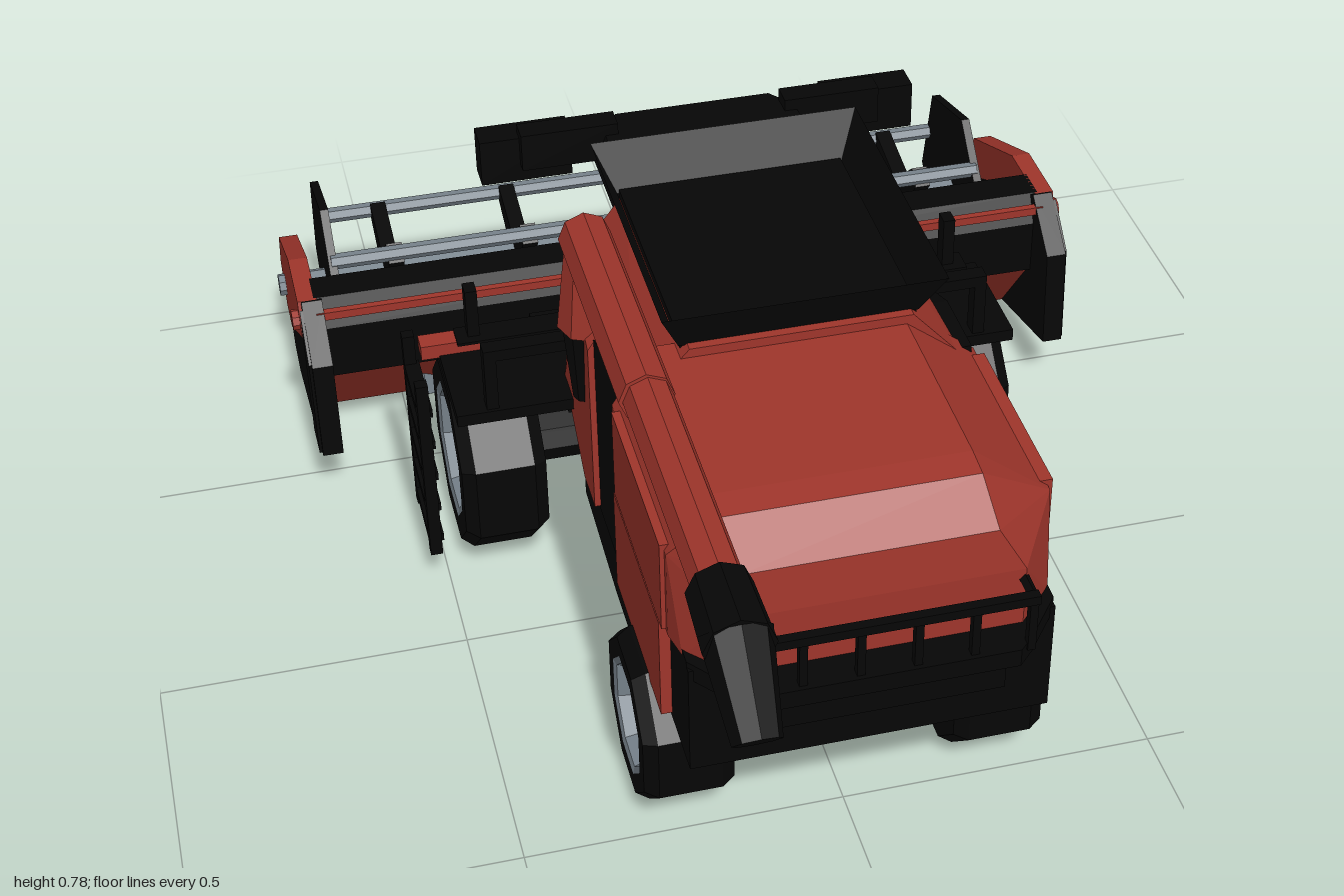
import * as THREE from 'three';
import { ConvexGeometry } from 'three/addons/geometries/ConvexGeometry.js';

const mat = (color) => new THREE.MeshStandardMaterial({ color, flatShading: true, side: THREE.DoubleSide });

export function createModel() {
  const model = new THREE.Group();
  const red = mat(0x9e352b), black = mat(0x060606), grey = mat(0x76818a);
  const glass = mat(0xd0955f), cream = mat(0xe8dfae);
  const V = (x, y, z) => new THREE.Vector3(x, y, z);

  const add = (name, geo, m, parent = model) => {
    const mesh = new THREE.Mesh(geo, m);
    mesh.name = name;
    parent.add(mesh);
    return mesh;
  };
  // Box given by its limits
  const box = (name, m, x0, x1, y0, y1, z0, z1, parent) => {
    const b = add(name, new THREE.BoxGeometry(x1 - x0, y1 - y0, z1 - z0), m, parent);
    b.position.set((x0 + x1) / 2, (y0 + y1) / 2, (z0 + z1) / 2);
    return b;
  };
  // Side profile of [z, y] points spanning x0..x1
  const prism = (name, m, pts, x0, x1, parent) =>
    add(name, new ConvexGeometry(pts.flatMap(([z, y]) => [V(x0, y, z), V(x1, y, z)])), m, parent);
  // Convex block through sections of [z, [[x, y], ...]]
  const hull = (name, m, sections) =>
    add(name, new ConvexGeometry(sections.flatMap(([z, s]) => s.map(([x, y]) => V(x, y, z)))), m);
  // The same, mirrored in x
  const block = (name, m, sections) =>
    hull(name, m, sections.map(([z, s]) => [z, s.flatMap(([x, y]) => [[x, y], [-x, y]])]));
  // Straight rod between two points
  const rod = (name, m, a, b, r, sides = 6, parent = model, r2 = r) => {
    const d = b.clone().sub(a);
    const c = add(name, new THREE.CylinderGeometry(r2, r, d.length(), sides), m, parent);
    c.position.copy(a).add(b).multiplyScalar(0.5);
    c.quaternion.setFromUnitVectors(V(0, 1, 0), d.normalize());
    return c;
  };
  // x limits on side s
  const span = (s, a, b) => [Math.min(s * a, s * b), Math.max(s * a, s * b)];

  // Body shells
  const hoodSection = [[-0.28, 0.45], [-0.28, 0.6], [-0.22, 0.695], [0.16, 0.695], [0.25, 0.62], [0.28, 0.6], [0.28, 0.45]];
  hull('rearHood', red, [
    [0.2, hoodSection],
    [0.55, hoodSection],
    [0.595, [[-0.22, 0.69], [0.16, 0.69], [0.22, 0.62], [0.27, 0.45], [-0.27, 0.45]]],
    [0.65, [[-0.2, 0.63], [0.17, 0.63]]],
    [0.66, [[-0.21, 0.45], [-0.21, 0.56], [0.21, 0.56], [0.21, 0.45]]],
  ]);
  for (const s of [-1, 1]) {
    box('sidePanel', red, ...span(s, 0.24, 0.287), 0.455, 0.61, 0.23, 0.54);
    box('lowerSidePanel', red, ...span(s, 0.24, 0.287), 0.27, 0.45, 0.22, 0.52);
    prism('sideSkirt', black, [[0.22, 0.27], [0.22, 0.14], [0.09, 0.14], [0, 0.16], [-0.14, 0.16], [-0.14, 0.27]], s * 0.2, s * 0.265);
  }
  block('middleBody', black, [
    [0.22, [[0.27, 0.25], [0.27, 0.62]]],
    [0.1, [[0.27, 0.25], [0.27, 0.62]]],
    [0, [[0.27, 0.25], [0.27, 0.58]]],
  ]);
  block('frontBody', red, [
    [0.02, [[0.28, 0.26], [0.28, 0.57], [0.24, 0.63]]],
    [-0.06, [[0.28, 0.26], [0.28, 0.62]]],
    [-0.2, [[0.25, 0.28], [0.28, 0.36], [0.25, 0.62]]],
  ]);
  block('tankBody', red, [
    [0.24, [[0.25, 0.55], [0.25, 0.62], [0.17, 0.71]]],
    [-0.19, [[0.24, 0.55], [0.24, 0.62], [0.17, 0.71]]],
  ]);
  box('rearChassis', black, -0.27, 0.27, 0.26, 0.45, 0.5, 0.63);
  box('rearCore', black, -0.24, 0.24, 0.26, 0.46, 0.2, 0.52);
  box('underbody', black, -0.11, 0.11, 0.155, 0.27, -0.2, 0.48);
  box('rearGrille', black, -0.16, 0.16, 0.345, 0.375, 0.62, 0.645);

  // Rear platform with railing
  prism('rearPlatform', black, [[0.6, 0.46], [0.71, 0.46], [0.71, 0.39], [0.66, 0.35], [0.6, 0.35]], -0.17, 0.17);
  block('platformDeck', black, [
    [0.52, [[0.27, 0.43], [0.27, 0.46]]], [0.62, [[0.27, 0.43], [0.27, 0.46]]],
    [0.69, [[0.215, 0.43], [0.215, 0.46]]], [0.715, [[0.19, 0.43], [0.19, 0.46]]],
  ]);
  box('railTop', black, -0.215, 0.215, 0.535, 0.55, 0.695, 0.71);
  for (let i = 0; i < 6; i++) {
    const x = -0.208 + i * 0.083;
    box('railPost', black, x - 0.006, x + 0.006, 0.45, 0.54, 0.695, 0.708);
  }
  for (const s of [-1, 1]) rod('railSide', black, V(s * 0.208, 0.542, 0.7), V(s * 0.208, 0.542, 0.6), 0.008, 4);

  // Flared grain hopper
  const hopper = new THREE.CylinderGeometry(Math.SQRT1_2, 0.6, 0.075, 4, 1, true).rotateY(Math.PI / 4).scale(0.43, 1, 0.49);
  add('grainHopper', hopper, black).position.set(0, 0.743, 0.015);
  box('hopperFloor', black, -0.18, 0.18, 0.7, 0.715, -0.19, 0.22);

  // Unloading auger
  const auger = new THREE.Group();
  auger.name = 'unloadingAuger';
  model.add(auger);
  rod('augerBase', black, V(-0.275, 0.44, -0.04), V(-0.27, 0.61, -0.04), 0.02, 8, auger, 0.04);
  rod('augerElbow', red, V(-0.265, 0.58, -0.04), V(-0.265, 0.73, -0.03), 0.05, 8, auger, 0.035);
  rod('augerInnerTube', red, V(-0.262, 0.728, -0.06), V(-0.262, 0.735, 0.37), 0.041, 8, auger);
  rod('augerOuterTube', red, V(-0.26, 0.734, 0.36), V(-0.26, 0.734, 0.81), 0.037, 8, auger);
  rod('spoutCollar', black, V(-0.26, 0.733, 0.78), V(-0.26, 0.725, 0.89), 0.046, 8, auger, 0.05);
  rod('spoutTip', black, V(-0.26, 0.733, 0.865), V(-0.26, 0.64, 0.975), 0.05, 8, auger, 0.034);

  // Cab
  block('cabGlass', glass, [
    [-0.19, [[0.17, 0.36], [0.18, 0.65]]], [-0.325, [[0.09, 0.36]]], [-0.42, [[0.1, 0.65]]],
  ]);
  block('cabRoof', black, [
    [-0.17, [[0.18, 0.645], [0.17, 0.7]]], [-0.4, [[0.18, 0.645], [0.16, 0.695]]], [-0.45, [[0.14, 0.645], [0.13, 0.69]]],
  ]);
  box('cabFloor', black, -0.18, 0.18, 0.33, 0.365, -0.34, -0.18);
  box('cabSideStep', black, -0.28, -0.17, 0.3, 0.34, -0.41, -0.18);
  for (const s of [-1, 1]) {
    rod('cabFrontPillar', red, V(s * 0.095, 0.36, -0.33), V(s * 0.105, 0.66, -0.43), 0.016, 4);
    rod('cabRearPillar', red, V(s * 0.172, 0.36, -0.2), V(s * 0.18, 0.66, -0.2), 0.014, 4);
    // Work lights on outriggers
    const light = new THREE.Group();
    light.name = 'workLights';
    model.add(light);
    box('lightArm', black, ...span(s, 0.14, 0.3), 0.65, 0.715, -0.42, -0.38, light);
    box('lightHousing', black, ...span(s, 0.215, 0.365), 0.62, 0.7, -0.45, -0.4, light);
    for (const x of [0.255, 0.325])
      rod('lamp', cream, V(s * x, 0.66, -0.43), V(s * x, 0.66, -0.46), 0.03, 8, light);
    // Side decks over the front wheels
    box('sideDeck', black, ...span(s, 0.17, 0.47), 0.345, 0.366, -0.335, -0.13);
    box('deckStrut', black, ...span(s, 0.25, 0.3), 0.3, 0.345, -0.41, -0.3);
    box('deckBeam', red, ...span(s, 0.2, s > 0 ? 0.44 : 0.5), 0.362, 0.388, -0.335, -0.3);
    box('deckTread', black, ...span(s, 0.2, 0.44), 0.386, 0.391, -0.337, -0.29);
    for (const z of [-0.15, -0.32]) box('handrailPost', black, ...span(s, 0.4, 0.42), 0.36, 0.48, z - 0.014, z + 0.014);
    box('handrailTop', black, ...span(s, 0.28, 0.42), 0.46, 0.48, -0.164, -0.136);
  }
  // Boarding ladder
  for (const z of [-0.3, -0.16]) box('ladderRail', black, -0.53, -0.51, 0.07, 0.42, z - 0.01, z + 0.01);
  for (let i = 0; i < 5; i++) box('ladderStep', black, -0.53, -0.505, 0.09 + i * 0.065, 0.105 + i * 0.065, -0.3, -0.16);

  // Wheels: tyre, dished rim open towards the inside, hub and bolts
  const wheel = (name, s, x, y, z, r, w) => {
    const g = new THREE.Group();
    g.name = name;
    const lathe = (part, m, pts) =>
      add(part, new THREE.LatheGeometry(pts.map(([a, b]) => new THREE.Vector2(a * r, b * w)), 8, Math.PI / 8), m, g);
    lathe('tyre', black, [[0.68, -1], [0.9, -1], [1, -0.7], [1, 0.7], [0.9, 1], [0.68, 1]]);
    lathe('rim', grey, [[0.68, -1], [0.62, -0.9], [0.55, 0.3], [0, 0.3]]);
    lathe('rimLip', grey, [[0.5, 0.3], [0.6, 0.95], [0.68, 1]]);
    const hub = add('hub', new THREE.CylinderGeometry(r * 0.26, r * 0.26, w * 0.5, 8), black, g);
    hub.position.y = w * 0.4;
    for (let i = 0; i < 8; i++) {
      const a = i * Math.PI / 4;
      add('bolt', new THREE.CylinderGeometry(r * 0.06, r * 0.06, w * 0.3, 5), black, g)
        .position.set(Math.cos(a) * r * 0.4, w * 0.3, Math.sin(a) * r * 0.4);
    }
    g.rotation.z = -s * Math.PI / 2;
    g.position.set(s * x, y, z);
    model.add(g);
  };
  for (const s of [-1, 1]) {
    wheel('frontWheel', s, 0.4, 0.185, -0.28, 0.177, 0.07);
    wheel('rearWheel', s, 0.243, 0.148, 0.385, 0.142, 0.07);
    rod('axleKnuckle', grey, V(s * 0.16, 0.095, 0.39), V(s * 0.16, 0.19, 0.39), 0.024, 6);
  }
  rod('rearAxle', grey, V(-0.25, 0.14, 0.39), V(0.25, 0.14, 0.39), 0.024, 6);
  rod('frontAxle', black, V(-0.41, 0.186, -0.28), V(0.41, 0.186, -0.28), 0.045, 8);

  // Feeder house
  prism('feederHouse', black, [[-0.15, 0.34], [-0.15, 0.18], [-0.52, 0.13], [-0.52, 0.28]], -0.12, 0.12);
  box('feederSkid', black, -0.037, 0.037, 0.075, 0.15, -0.56, -0.48);

  // Header
  const header = new THREE.Group();
  header.name = 'header';
  model.add(header);
  prism('headerBackBeam', black, [[-0.5, 0.21], [-0.5, 0.31], [-0.525, 0.36], [-0.585, 0.36], [-0.54, 0.21]], -0.65, 0.65, header);
  prism('headerBackWall', red, [[-0.505, 0.215], [-0.525, 0.215], [-0.65, 0.055], [-0.635, 0.05]], -0.64, 0.64, header);
  prism('headerFrontRail', red, [[-0.58, 0.35], [-0.61, 0.34], [-0.652, 0.31], [-0.645, 0.29], [-0.57, 0.3]], -0.54, 0.54, header);
  box('headerTrim', red, -0.65, 0.65, 0.335, 0.35, -0.503, -0.49, header);
  // Cross auger with tapered fingers
  rod('crossAuger', grey, V(-0.61, 0.165, -0.625), V(0.61, 0.165, -0.625), 0.046, 8, header);
  for (let i = 0; i < 8; i++) {
    const x = -0.47 + i * 0.1345;
    for (const [z, y] of [[-0.705, 0.17], [-0.665, 0.075], [-0.565, 0.09], [-0.66, 0.24]])
      rod('augerFinger', grey, V(x, 0.165, -0.625), V(x, y, z), 0.04, 4, header, 0.015);
  }
  for (const s of [-1, 1]) {
    prism('headerEnd', black, [[-0.41, 0.11], [-0.42, 0.29], [-0.51, 0.365], [-0.6, 0.32], [-0.83, 0.2], [-0.92, 0.1], [-0.87, 0.015], [-0.81, 0.005]],
      s * 0.637, s * 0.672, header);
    prism('reelArm', red, [[-0.5, 0.3], [-0.52, 0.36], [-0.65, 0.36], [-0.86, 0.27], [-0.9, 0.19], [-0.86, 0.12], [-0.79, 0.12]],
      s * 0.645, s * 0.678, header);
    prism('headerEndCap', black, [[-0.42, 0.11], [-0.43, 0.29], [-0.5, 0.355], [-0.5, 0.1]], s * 0.64, s * 0.677, header);
    rod('armPivot', red, V(s * 0.64, 0.318, -0.53), V(s * 0.69, 0.318, -0.53), 0.018, 8, header);
  }

  // Reel: hexagonal ends and three bars on spokes
  const reel = new THREE.Group();
  reel.name = 'reel';
  header.add(reel);
  const at = (degrees, r) => {
    const a = THREE.MathUtils.degToRad(degrees);
    return [-0.825 - Math.cos(a) * r, 0.19 + Math.sin(a) * r];
  };
  rod('reelShaft', grey, V(-0.69, 0.19, -0.825), V(0.69, 0.19, -0.825), 0.02, 8, reel);
  for (const s of [-1, 1])
    prism('reelEnd', black, [44, 104, 164, 224, 284, 344].map((a) => at(a, 0.182)), s * 0.59, s * 0.605, reel);
  for (const a of [15, 135, 255]) {
    const [z, y] = at(a, 0.15);
    rod('reelBar', grey, V(-0.6, y, z), V(0.6, y, z), 0.014, 6, reel);
    for (const x of [-0.485, -0.243, 0, 0.243, 0.495])
      prism('reelSpoke', black, [at(a - 90, 0.03), at(a + 90, 0.03), at(a - 7, 0.15), at(a + 7, 0.15)], x - 0.014, x + 0.014, reel);
  }
  return model;
}
